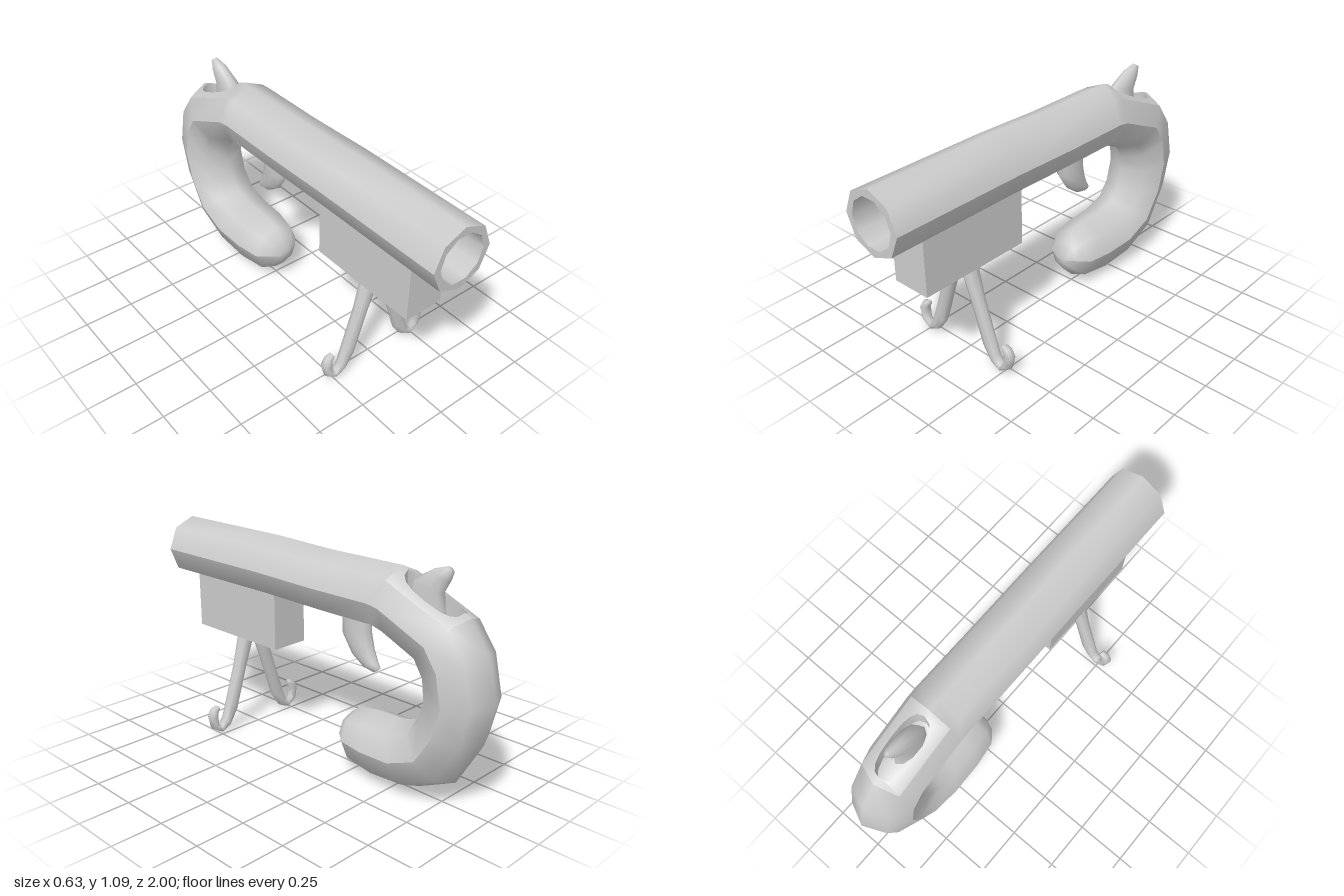
import * as THREE from 'three';

const mat = new THREE.MeshStandardMaterial({ color: 0xcccccc });
const thin = new THREE.MeshStandardMaterial({ color: 0xcccccc, side: THREE.DoubleSide });

// Skin elliptical rings. Each section is [z1, y1, z2, y2, halfWidth]: two opposite
// points in the middle plane and the half width across it. The last ring is closed.
function loft(sections, n, skip = () => false) {
  const pos = [], index = [], last = sections.length - 1;
  for (const [z1, y1, z2, y2, w] of sections) {
    for (let j = 0; j < n; j++) {
      const a = (j / n) * Math.PI * 2, c = Math.cos(a) / 2;
      pos.push(w * Math.sin(a), (y1 + y2) / 2 + c * (y1 - y2), (z1 + z2) / 2 + c * (z1 - z2));
    }
  }
  const [z1, y1, z2, y2] = sections[last], tip = pos.length / 3;
  pos.push(0, (y1 + y2) / 2, (z1 + z2) / 2);
  for (let i = 0; i <= last; i++) {
    for (let j = 0; j < n; j++) {
      if (skip(i, j)) continue;
      const a = i * n + j, b = i * n + (j + 1) % n;
      if (i === last) index.push(a, b, tip);
      else index.push(a, b, a + n, b, b + n, a + n);
    }
  }
  const g = new THREE.BufferGeometry();
  g.setAttribute('position', new THREE.Float32BufferAttribute(pos, 3));
  g.setIndex(index);
  g.computeVertexNormals();
  return g;
}

// Height of the sloping top panel that holds the oval recess
function panelY(x, z) {
  const top = THREE.MathUtils.mapLinear(z, -0.48, -0.85, 1.053, 0.895);
  const side = THREE.MathUtils.mapLinear(z, -0.474, -0.815, 1.006, 0.861);
  return THREE.MathUtils.lerp(top, side, Math.abs(x) / 0.111);
}

// Squarish oval outline of the recess, from the sine and cosine of an angle
const soft = v => Math.sign(v) * Math.abs(v) ** 0.75;
const oval = (s, c) => [0.072 * soft(s), -0.662 + 0.152 * soft(c)];

// Flat outline in x and z laid onto the panel slope, with rounded shading
function drape(points, drop) {
  const g = new THREE.ShapeGeometry(new THREE.Shape(points.map(p => new THREE.Vector2(...p))));
  // Turn the outline so that its front faces up
  g.rotateX(Math.PI / 2);
  g.setIndex([...g.index.array].reverse());
  const p = g.attributes.position;
  for (let i = 0; i < p.count; i++) {
    const x = p.getX(i), n = new THREE.Vector3(x / 0.157, 0.9, -0.39).normalize();
    p.setY(i, panelY(x, p.getZ(i)) - drop);
    g.attributes.normal.setXYZ(i, n.x, n.y, n.z);
  }
  return g;
}

export function createModel() {
  const group = new THREE.Group();
  const add = (name, geometry, material = mat) => {
    const mesh = new THREE.Mesh(geometry, material);
    mesh.name = name;
    group.add(mesh);
    return mesh;
  };

  // Barrel running into the curled grip, open at the trigger slot and top recess;
  // upper and lower halves meet in a crease along the sides
  const W = 0.157;
  const body = [
    [1, 1.057, 1, 0.743, W],
    [0.3, 1.06, 0.3, 0.746, W],
    [-0.06, 1.05, -0.06, 0.743, W],
    [-0.42, 1.053, -0.4, 0.743, W],
    [-0.48, 1.053, -0.46, 0.725, W],
    [-0.85, 0.895, -0.61, 0.66, W],
    [-0.95, 0.76, -0.65, 0.59, W],
    [-1, 0.55, -0.655, 0.51, W],
    [-0.95, 0.35, -0.63, 0.41, W],
    [-0.82, 0.125, -0.58, 0.355, W],
    [-0.62, 0.03, -0.48, 0.33, W],
    [-0.42, 0.013, -0.34, 0.33, 0.15],
    [-0.25, 0.037, -0.24, 0.31, 0.13],
    [-0.187, 0.1, -0.19, 0.27, 0.085],
    [-0.165, 0.145, -0.168, 0.2, 0.03],
  ];
  const isLower = j => j >= 2 && j <= 5;
  add('upperBody', loft(body, 8, (i, j) => isLower(j) || (i === 4 && (j === 0 || j === 7))), thin);
  add('lowerBody', loft(body, 8, (i, j) => !isLower(j) || (i === 2 && (j === 3 || j === 4))), thin);

  // Muzzle rim, bore and its end wall
  const ring = (r, n, start) => Array.from({ length: n }, (_, i) => {
    const a = start + i / n * Math.PI * 2;
    return new THREE.Vector2(r * Math.sin(a), 0.9 + r * Math.cos(a));
  });
  const boreRing = ring(0.12, 10, Math.PI / 10);
  const rim = new THREE.Shape(ring(W, 8, 0));
  rim.holes.push(new THREE.Path(boreRing));
  add('muzzleRim', new THREE.ShapeGeometry(rim).translate(0, 0, 1), thin);
  add('bore', new THREE.CylinderGeometry(0.12, 0.12, 1, 10, 1, true, Math.PI / 10)
    .rotateX(Math.PI / 2).translate(0, 0.9, 0.5), thin);
  add('boreEnd', new THREE.ShapeGeometry(new THREE.Shape(boreRing)), thin);

  // Trigger slot pocket, a box without its bottom, with two end lips
  const pocket = new THREE.BoxGeometry(0.222, 0.115, 0.34).translate(0, 0.8445, -0.23);
  pocket.setIndex([...pocket.index.array].filter((_, i) => i < 18 || i >= 24));
  add('triggerSlot', pocket, thin);
  for (const z of [-0.06, -0.4]) {
    const lip = new THREE.Shape([[-0.111, 0.787], [0, 0.743], [0.111, 0.787]].map(p => new THREE.Vector2(...p)));
    add('slotLip', new THREE.ShapeGeometry(lip).translate(0, 0, z), thin);
  }

  // Top panel in two mirrored halves around the oval recess
  const angles = Array.from({ length: 17 }, (_, i) => i / 8 * Math.PI);
  for (const s of [1, -1]) {
    const edge = angles.slice(0, 9).map(a => oval(Math.sin(a), -Math.cos(a)));
    const outline = [[0, -0.48], [0.111, -0.474], [0.111, -0.815], [0, -0.85], ...edge];
    add('topPanel', drape(outline.map(([x, z]) => [s * x, z]), 0), thin);
  }
  const wall = new THREE.CylinderGeometry(1, 1, 1, 16, 1, true);
  const wp = wall.attributes.position;
  for (let i = 0; i < wp.count; i++) {
    const [x, z] = oval(wp.getX(i), wp.getZ(i));
    wp.setXYZ(i, x, panelY(x, z) - (wp.getY(i) < 0 ? 0.1 : 0), z);
  }
  wall.computeVertexNormals();
  add('recessWall', wall, thin);
  add('recessFloor', drape(angles.slice(0, 16).map(a => oval(Math.sin(a), Math.cos(a))), 0.1), thin);

  // Horn-shaped hammer
  add('hammer', loft([
    [-0.52, 0.9, -0.72, 0.86, 0.045],
    [-0.55, 1.01, -0.705, 0.97, 0.045],
    [-0.65, 1.07, -0.735, 1.025, 0.033],
    [-0.72, 1.092, -0.75, 1.065, 0.015],
  ], 10));

  // Curved trigger
  add('trigger', loft([
    [-0.3, 0.88, -0.13, 0.88, 0.05],
    [-0.3, 0.7, -0.14, 0.67, 0.05],
    [-0.32, 0.62, -0.2, 0.58, 0.042],
    [-0.345, 0.565, -0.27, 0.53, 0.032],
    [-0.362, 0.54, -0.33, 0.515, 0.018],
  ], 10));

  // Block under the barrel
  add('mountBlock', new THREE.BoxGeometry(0.2, 0.282, 0.59).translate(0, 0.644, 0.535));

  // Two legs ending in upturned hooks
  const leg = loft([
    [0, 0.515, 0.08, 0.515, 0.045],
    [0.06, 0.33, 0.125, 0.35, 0.034],
    [0.13, 0.1, 0.185, 0.18, 0.03],
    [0.18, 0.03, 0.215, 0.08, 0.028],
    [0.235, 0.003, 0.238, 0.045, 0.027],
    [0.295, 0.04, 0.257, 0.06, 0.026],
    [0.313, 0.11, 0.255, 0.09, 0.025],
    [0.291, 0.15, 0.257, 0.115, 0.023],
    [0.256, 0.16, 0.246, 0.137, 0.017],
  ], 8).rotateY(Math.PI / 2);
  for (const [name, turn] of [['leftLeg', 0], ['rightLeg', Math.PI]]) {
    const mesh = add(name, leg);
    mesh.position.z = 0.53;
    mesh.rotation.y = turn;
  }
  return group;
}
